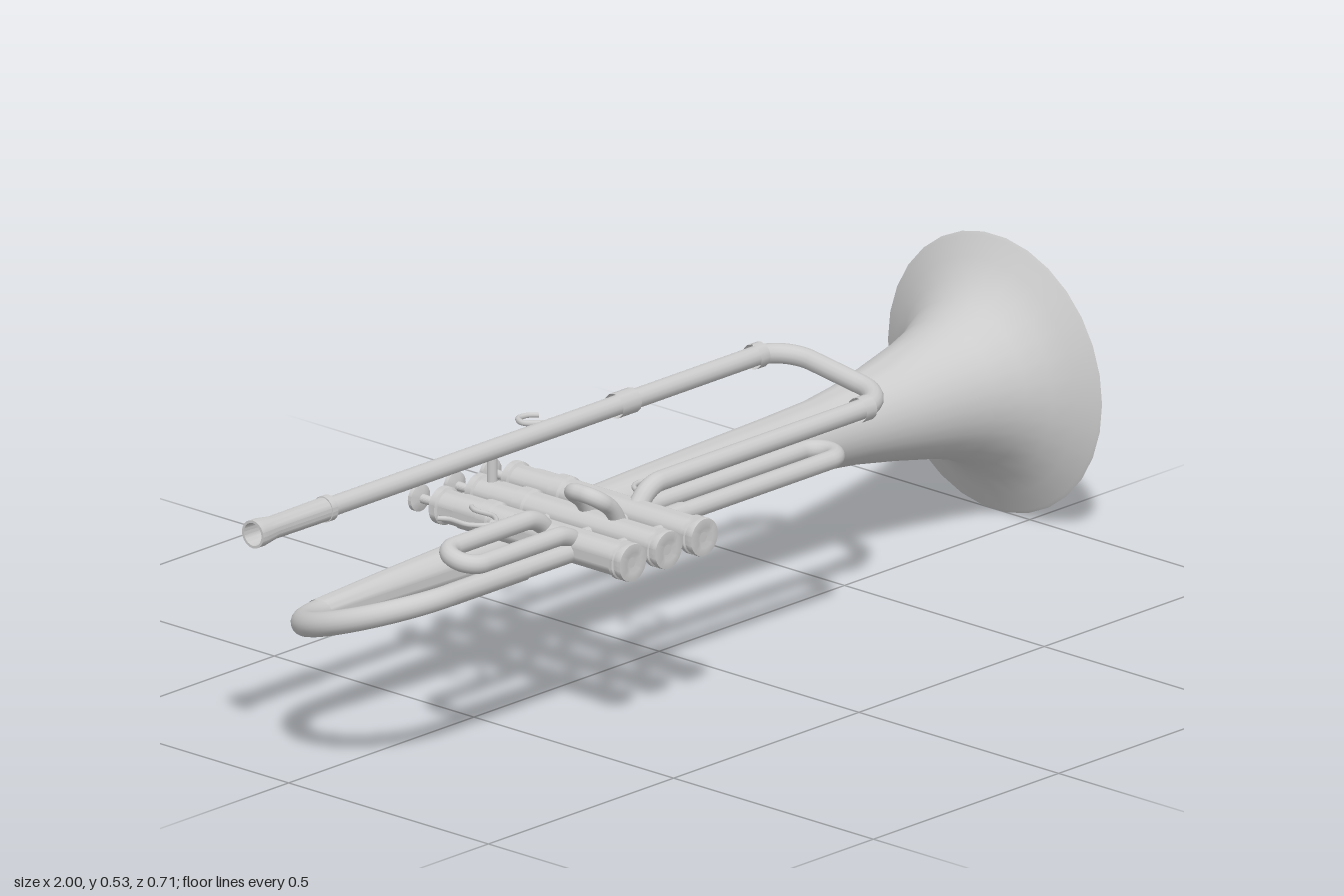
import * as THREE from 'three';
import { toCreasedNormals } from 'three/addons/utils/BufferGeometryUtils.js';

const material = new THREE.MeshStandardMaterial({ color: 0xcccccc, side: THREE.DoubleSide });
const V = (p) => new THREE.Vector3(...p);

// Straight runs joined by circular corners
function roundedPath(points, radius) {
  const pts = points.map(V);
  const path = new THREE.CurvePath();
  let from = pts[0];
  for (let i = 1; i < pts.length - 1; i++) {
    const p = pts[i];
    const back = pts[i - 1].clone().sub(p), ahead = pts[i + 1].clone().sub(p);
    const r = Math.min(radius, back.length() * 0.499, ahead.length() * 0.499);
    back.normalize();
    ahead.normalize();
    const a = p.clone().addScaledVector(back, r), b = p.clone().addScaledVector(ahead, r);
    path.add(new THREE.LineCurve3(from, a));
    path.add(new THREE.CubicBezierCurve3(a, p.clone().addScaledVector(back, r * 0.45),
      p.clone().addScaledVector(ahead, r * 0.45), b));
    from = b;
  }
  path.add(new THREE.LineCurve3(from, pts[pts.length - 1]));
  return path;
}

// Tube along a path, optionally tapering from r0 to r1
function tube(name, path, r0, r1 = r0, segments = 90, sides = 14) {
  const geometry = new THREE.TubeGeometry(path, segments, r0, sides);
  if (r1 !== r0) {
    const pos = geometry.attributes.position, v = new THREE.Vector3();
    for (let i = 0; i < pos.count; i++) {
      const t = Math.floor(i / (sides + 1)) / segments;
      const c = path.getPointAt(t);
      v.fromBufferAttribute(pos, i).sub(c).multiplyScalar(THREE.MathUtils.lerp(1, r1 / r0, t)).add(c);
      pos.setXYZ(i, v.x, v.y, v.z);
    }
  }
  return named(name, geometry);
}

function named(name, geometry) {
  const mesh = new THREE.Mesh(geometry, material);
  mesh.name = name;
  return mesh;
}

// Turned part from [radius, distance] pairs, along x or z
function turned(name, profile, axis, sides = 20) {
  let g = new THREE.LatheGeometry(profile.map(([r, d]) => new THREE.Vector2(r, d)), sides);
  if (axis === 'x') g.rotateZ(-Math.PI / 2);
  else g.rotateX(Math.PI / 2);
  return named(name, toCreasedNormals(g, 0.6));
}

// Plain rod between two points
function rod(name, a, b, r) {
  return tube(name, new THREE.LineCurve3(V(a), V(b)), r, r, 1, 12);
}

export function createModel() {
  const model = new THREE.Group();
  model.name = 'trumpet';

  // Flared bell
  const bell = turned('bell', [
    [0.025, -0.83], [0.033, -0.65], [0.042, -0.4], [0.048, -0.2], [0.054, 0], [0.059, 0.2],
    [0.063, 0.4], [0.067, 0.52], [0.076, 0.6], [0.094, 0.7], [0.115, 0.8], [0.132, 0.86],
    [0.158, 0.915], [0.19, 0.95], [0.225, 0.977], [0.262, 0.996], [0.268, 1]], 'x', 30);
  bell.position.set(0, 0.271, -0.087);
  model.add(bell);

  // Tilted bend from the bell back to the valves
  model.add(tube('bellBend', roundedPath([
    [-0.64, 0.27, -0.087], [-0.96, 0.27, -0.087], [-0.96, 0.369, 0.216], [-0.64, 0.369, 0.216]], 0.159),
    0.027, 0.019, 90, 18));
  model.add(rod('bellTube', [-0.66, 0.369, 0.216], [-0.45, 0.369, 0.216], 0.019));
  model.add(rod('bellTubeSleeve', [-0.8, 0.369, 0.216], [-0.6, 0.369, 0.216], 0.021));

  // Mouthpiece receiver, lead pipe and tuning slide
  const pipeY = 0.466, pipeZ = -0.09;
  const receiver = turned('receiver', [
    [0.018, -0.9], [0.022, -1], [0.027, -1], [0.027, -0.985], [0.022, -0.95], [0.023, -0.81],
    [0.025, -0.81], [0.025, -0.795], [0.019, -0.795]], 'x');
  receiver.position.set(0, pipeY, pipeZ);
  model.add(receiver);
  model.add(tube('leadPipe', roundedPath([
    [-0.82, pipeY, pipeZ], [0.43, pipeY, pipeZ], [0.43, 0.428, 0.18], [-0.22, 0.428, 0.18],
    [-0.255, 0.39, 0.18]], 0.075), 0.019, 0.019, 260));
  for (const [x, y, z, half] of [[0, pipeY, pipeZ, 0.025], [0.36, pipeY, pipeZ, 0.012], [0.355, 0.428, 0.18, 0.014]])
    model.add(rod('slideCollar', [x - half, y, z], [x + half, y, z], 0.024));

  // Three valves
  const valveX = [-0.45, -0.354, -0.257], valveY = 0.375;
  for (const x of valveX) {
    const valve = new THREE.Group();
    valve.name = 'valve';
    valve.position.set(x, valveY, 0);
    valve.add(turned('casing', [
      [0, -0.132], [0.02, -0.132], [0.036, -0.127], [0.036, -0.113], [0.031, -0.11], [0.031, -0.07],
      [0.033, -0.07], [0.033, -0.012], [0.037, -0.012], [0.037, 0.012], [0.033, 0.016], [0.033, 0.322],
      [0.037, 0.324], [0.037, 0.332], [0.034, 0.334], [0.037, 0.345], [0.036, 0.352],
      [0.02, 0.354], [0.01, 0.349], [0, 0.349]], 'z', 24));
    valve.add(turned('button', [
      [0, -0.184], [0.02, -0.19], [0.026, -0.188], [0.026, -0.18], [0.009, -0.174],
      [0.008, -0.145], [0.014, -0.143], [0.014, -0.13], [0, -0.13]], 'z'));
    model.add(valve);
  }

  // Short links between neighbouring valves
  for (let i = 0; i < 2; i++)
    for (const z of [0.075, 0.18, 0.27])
      model.add(rod('valveLink', [valveX[i], valveY, z], [valveX[i + 1], valveY, z], 0.013));

  // First valve slide
  model.add(tube('firstSlide', roundedPath([
    [-0.45, 0.385, 0.14], [-0.485, 0.422, 0.14], [-0.74, 0.422, 0.14], [-0.74, 0.407, 0.214],
    [-0.485, 0.407, 0.214], [-0.45, 0.38, 0.214]], 0.036), 0.018, 0.018, 150));

  // Second valve crook
  model.add(tube('secondSlide', roundedPath([
    [-0.345, 0.395, 0.145], [-0.36, 0.425, 0.145], [-0.405, 0.458, 0.145],
    [-0.405, 0.458, 0.218], [-0.36, 0.425, 0.218], [-0.345, 0.395, 0.218]], 0.034), 0.016));

  // Third valve slide
  model.add(tube('thirdSlide', roundedPath([
    [-0.257, 0.369, 0.142], [0.265, 0.369, 0.142], [0.265, 0.369, 0.216], [-0.257, 0.369, 0.216]], 0.037),
    0.018, 0.018, 180));
  for (const z of [0.142, 0.216])
    model.add(rod('thirdSlideSleeve', [-0.23, 0.369, z], [-0.17, 0.369, z], 0.021));

  // Finger ring on the third slide
  const ring = named('fingerRing', new THREE.TorusGeometry(0.037, 0.005, 8, 28));
  ring.rotation.x = Math.PI / 2;
  ring.position.set(-0.1, 0.369, 0.08);
  model.add(ring);

  // Thumb saddle on the first slide
  model.add(tube('thumbSaddle', new THREE.CatmullRomCurve3([
    [-0.61, 0.422, 0.012], [-0.6, 0.422, 0.03], [-0.598, 0.422, 0.08], [-0.565, 0.422, 0.11],
    [-0.532, 0.422, 0.08], [-0.53, 0.422, 0.03], [-0.52, 0.422, 0.012]].map(V)), 0.005, 0.005, 40, 8));
  model.add(rod('saddlePost', [-0.565, 0.422, 0.105], [-0.565, 0.422, 0.14], 0.008));

  // Little finger hook on the lead pipe
  model.add(tube('fingerHook', new THREE.CatmullRomCurve3([
    [-0.16, pipeY, -0.1], [-0.185, pipeY, -0.122], [-0.206, pipeY, -0.15], [-0.195, pipeY, -0.172],
    [-0.17, pipeY, -0.172], [-0.155, pipeY, -0.158]].map(V)), 0.007, 0.005, 40, 8));

  // Braces from the middle valve to the bell and lead pipe
  model.add(rod('bellBrace', [-0.354, 0.3, -0.087], [-0.354, 0.36, -0.087], 0.01));
  model.add(rod('leadPipeBrace', [-0.354, 0.39, -0.09], [-0.354, 0.46, -0.09], 0.01));
  return model;
}
